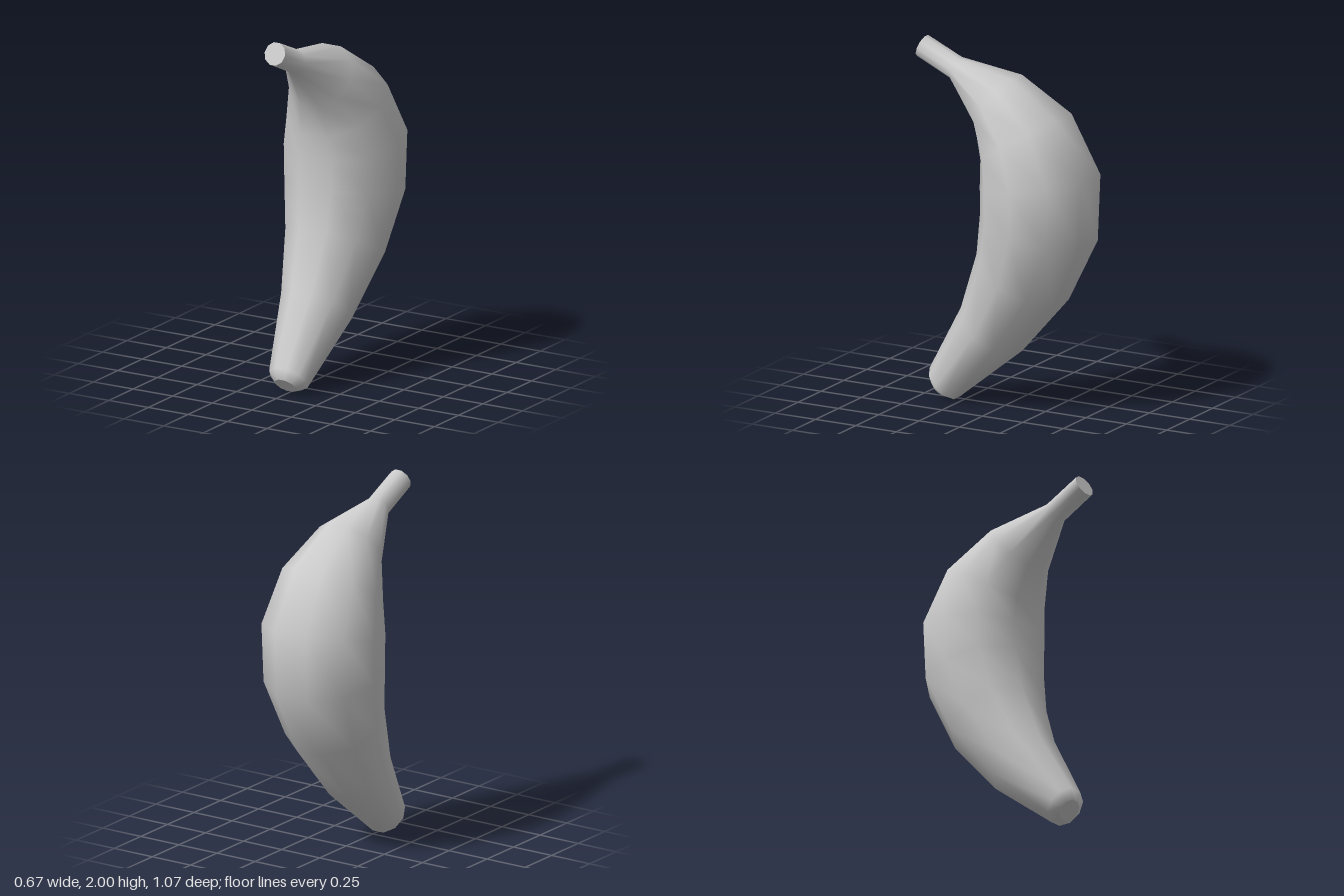
import * as THREE from 'three';

const SIDES = 10;

// Rings from blossom tip to stem: inner (front) edge z, y and outer (back) edge z, y
const RINGS = [
  [0.445, 0.09, 0.36, 0.005],
  [0.45, 0.155, 0.3, 0.0],
  [0.24, 0.53, -0.07, 0.3],
  [0.13, 0.85, -0.345, 0.62],
  [0.1, 1.08, -0.515, 0.97],
  [0.1, 1.24, -0.53, 1.34],
  [0.105, 1.38, -0.36, 1.66],
  [0.155, 1.56, -0.07, 1.845],
  [0.33, 1.79, 0.28, 1.905],
  [0.535, 1.885, 0.49, 2.0],
];

// Corners of one decagonal section, with flat sides towards front and back
function ringPoints([zi, yi, zo, yo]) {
  const centre = new THREE.Vector3(0, (yi + yo) / 2, (zi + zo) / 2);
  const across = new THREE.Vector3(0, yo - yi, zo - zi);
  const radius = across.length() / 2 / Math.cos(Math.PI / SIDES);
  across.normalize();
  return Array.from({ length: SIDES }, (_, j) => {
    const a = (j / SIDES) * Math.PI * 2;
    const p = centre.clone().addScaledVector(across, radius * Math.sin(a));
    p.x = radius * Math.cos(a);
    return p;
  });
}

function makeMesh(name, points, index, material) {
  const geometry = new THREE.BufferGeometry().setFromPoints(points);
  geometry.setIndex(index);
  geometry.computeVertexNormals();
  const mesh = new THREE.Mesh(geometry, material);
  mesh.name = name;
  return mesh;
}

// Flat end cap as a triangle fan
function makeCap(name, points, flip, material) {
  const index = [];
  for (let j = 1; j < SIDES - 1; j++) index.push(0, ...(flip ? [j + 1, j] : [j, j + 1]));
  return makeMesh(name, points, index, material);
}

export function createModel() {
  const group = new THREE.Group();
  group.name = 'banana';
  const material = new THREE.MeshStandardMaterial({ color: 0xcccccc });
  const rings = RINGS.map(ringPoints);

  // Smooth skin joining all sections
  const index = [];
  for (let i = 0; i < rings.length - 1; i++) {
    for (let j = 0; j < SIDES; j++) {
      const k = (j + 1) % SIDES;
      const a = i * SIDES + j, b = i * SIDES + k;
      index.push(a, b, a + SIDES, b, b + SIDES, a + SIDES);
    }
  }
  group.add(makeMesh('peel', rings.flat(), index, material));

  // Ends of the fruit
  group.add(makeCap('tipEnd', rings[0], true, material));
  group.add(makeCap('stemEnd', rings[rings.length - 1], false, material));
  return group;
}
